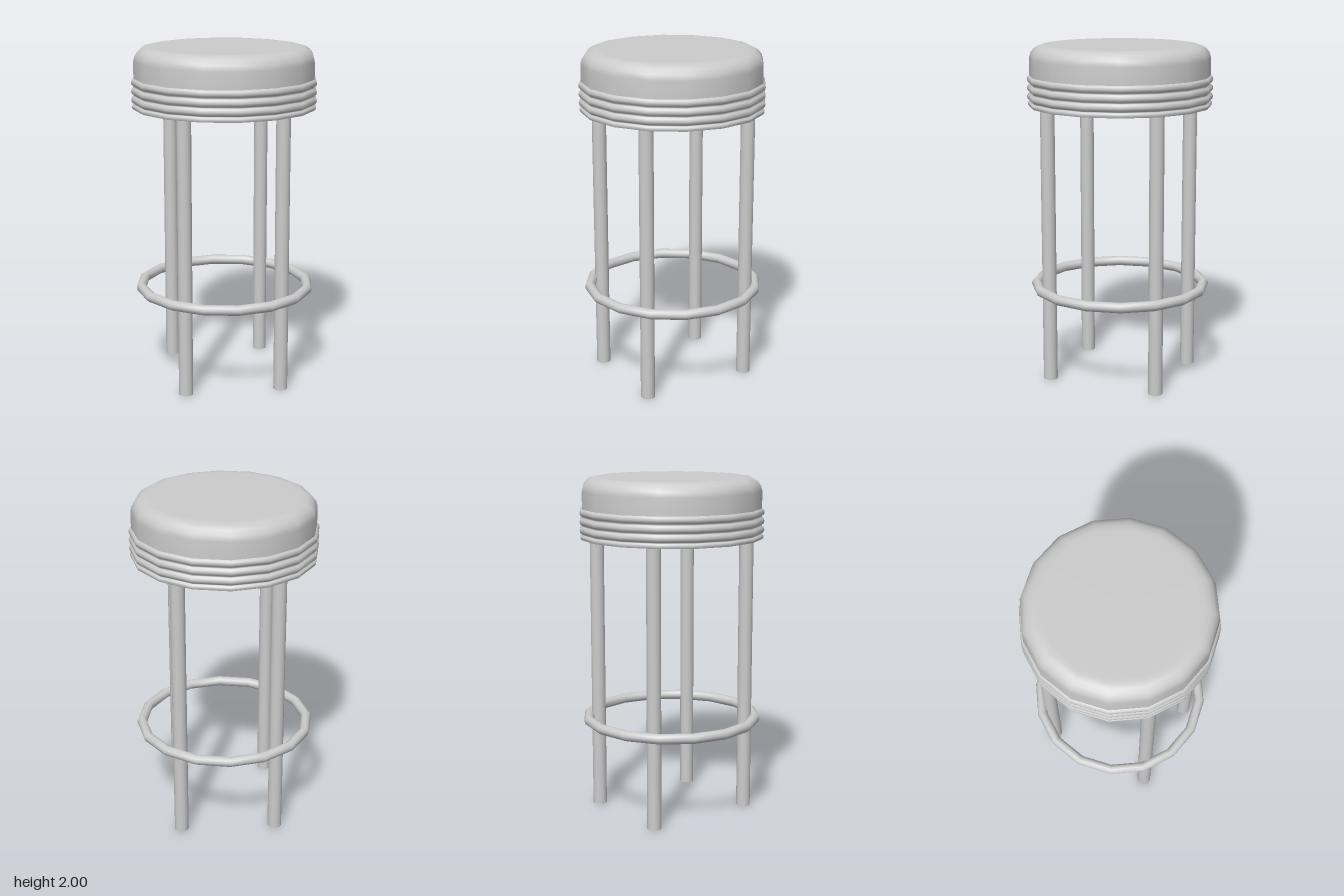
import * as THREE from 'three';

const SIDES = 16;
const material = new THREE.MeshStandardMaterial({ color: 0xcccccc });

function addMesh(parent, name, geometry, x = 0, y = 0, z = 0) {
  const mesh = new THREE.Mesh(geometry, material);
  mesh.name = name;
  mesh.position.set(x, y, z);
  parent.add(mesh);
  return mesh;
}

// Turned part from [radius, height] pairs, listed from the bottom up
function lathe(points) {
  return new THREE.LatheGeometry(points.map(([r, y]) => new THREE.Vector2(r, y)), SIDES);
}

export function createModel() {
  const stool = new THREE.Group();
  stool.name = 'barStool';

  // Padded cushion with a rounded shoulder and flat top
  addMesh(stool, 'cushion', lathe([
    [0.53, 1.8], [0.53, 1.92], [0.522, 1.952], [0.503, 1.978],
    [0.477, 1.994], [0.445, 2], [0.42, 2], [0, 2],
  ]));

  // Ribbed trim: three rounded ribs above a thin bottom lip
  const trim = [[0.525, 1.824]];
  for (const y of [1.8, 1.749, 1.699]) {
    trim.push([0.53, y + 0.021], [0.541, y + 0.014], [0.545, y], [0.541, y - 0.014], [0.53, y - 0.021]);
  }
  trim.push([0.528, 1.672], [0.54, 1.667], [0.541, 1.655], [0.536, 1.645]);
  addMesh(stool, 'ribbedTrim', lathe(trim.reverse()));

  // Flat underside of the seat
  const underside = new THREE.CircleGeometry(0.536, SIDES).rotateX(Math.PI / 2);
  addMesh(stool, 'seatUnderside', underside, 0, 1.645, 0);

  // Four straight legs
  const legHeight = 1.66;
  const leg = new THREE.CylinderGeometry(0.042, 0.042, legHeight, 16);
  for (const x of [-0.283, 0.283]) {
    for (const z of [-0.338, 0.338]) {
      addMesh(stool, 'leg', leg, x, legHeight / 2, z);
    }
  }

  // Footrest ring around the legs
  const ring = new THREE.TorusGeometry(0.505, 0.03, 10, SIDES).rotateX(Math.PI / 2);
  addMesh(stool, 'footRing', ring, 0, 0.56, 0);

  return stool;
}
